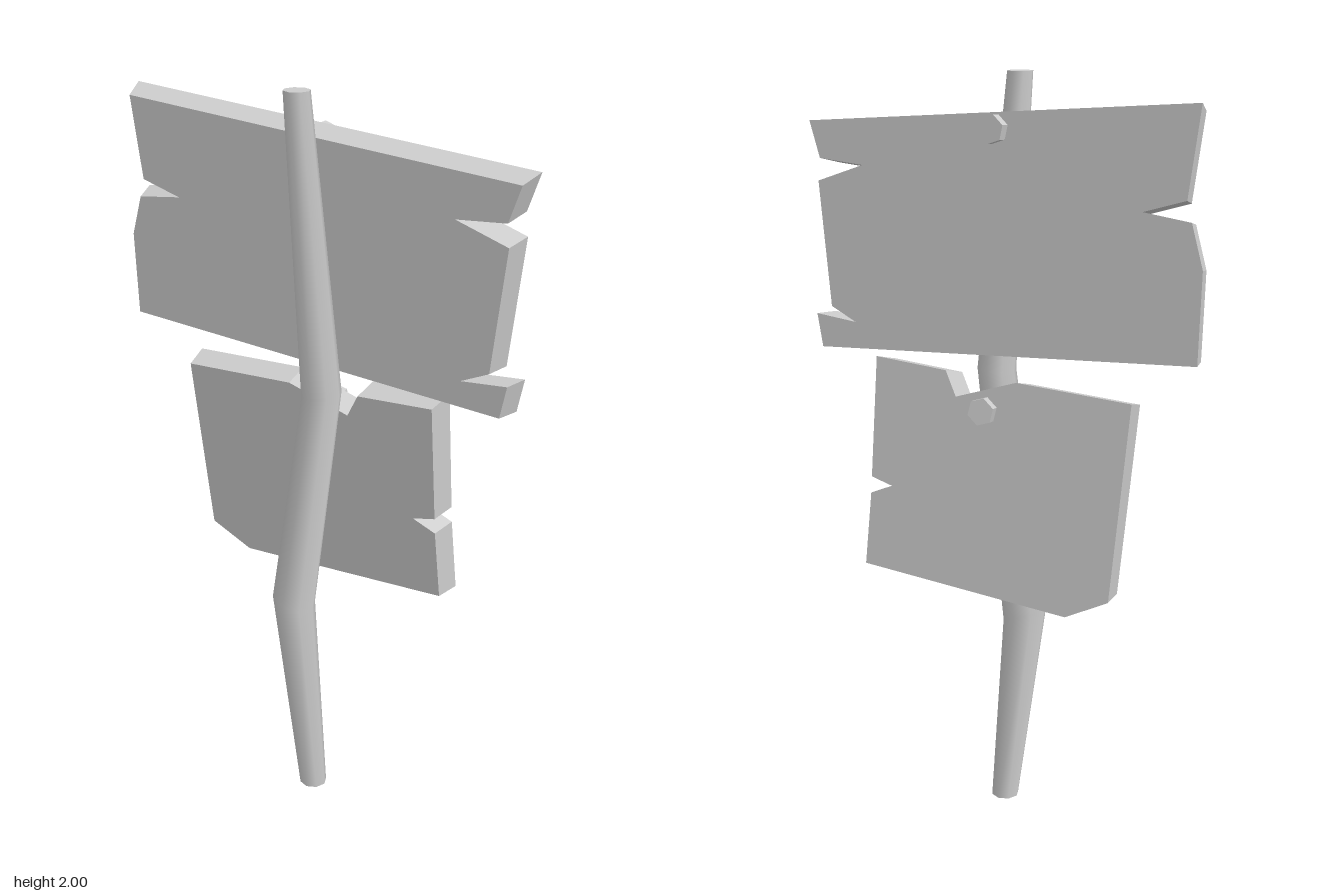
import * as THREE from 'three';

const material = new THREE.MeshStandardMaterial({ color: 0xcccccc });
const flatMaterial = new THREE.MeshStandardMaterial({ color: 0xcccccc, flatShading: true });

function addMesh(parent, name, geometry, mat) {
  const mesh = new THREE.Mesh(geometry, mat);
  mesh.name = name;
  parent.add(mesh);
  return mesh;
}

// Crooked eight-sided post: each ring is [x, y, z, radius, sideways slope]
function makePost() {
  const rings = [
    [-0.012, 0, 0.022, 0.038, 0],
    [-0.082, 0.575, 0.009, 0.06, -0.35],
    [0.041, 1.23, 0.064, 0.053, 0.1],
    [-0.01, 2, 0.093, 0.034, 0],
  ];
  const geometry = new THREE.CylinderGeometry(1, 1, 3, 8, 3);
  const p = geometry.attributes.position;
  for (let i = 0; i < p.count; i++) {
    const [x, y, z, r, slope] = rings[Math.round(p.getY(i) + 1.5)];
    const dx = p.getX(i) * r;
    p.setXYZ(i, x + dx, y + dx * slope, z + p.getZ(i) * r);
  }
  return geometry;
}

// Chipped plank: the outline is the rear face; the front face is slightly
// smaller and the whole plank leans forward at the top
function makePlank({ outline, thickness, bottom, zBottom, lean, centerX }) {
  const shape = new THREE.Shape(outline.map(([x, y]) => new THREE.Vector2(x, y)));
  const geometry = new THREE.ExtrudeGeometry(shape, { depth: thickness, bevelEnabled: false });
  const p = geometry.attributes.position;
  for (let i = 0; i < p.count; i++) {
    const front = p.getZ(i) > thickness / 2;
    let x = p.getX(i), y = p.getY(i);
    const z = zBottom + (y - bottom) * lean + p.getZ(i);
    if (front) {
      x = centerX + (x - centerX) * 0.968;
      y = bottom + (y - bottom) * 0.967;
    }
    p.setXYZ(i, x, y, z);
  }
  geometry.computeVertexNormals();
  return geometry;
}

// Hexagonal bolt sticking out of the rear of a plank
function makeBolt(name, x, y, z, lean, turn) {
  const bolt = new THREE.Group();
  bolt.name = name;
  const head = addMesh(bolt, name + 'Head', new THREE.CylinderGeometry(0.037, 0.037, 0.025, 6), flatMaterial);
  head.rotation.x = Math.PI / 2;
  const shank = addMesh(bolt, name + 'Shank', new THREE.CylinderGeometry(0.015, 0.015, 0.07, 8), material);
  shank.rotation.x = Math.PI / 2;
  shank.position.z = 0.035;
  bolt.position.set(x, y, z);
  bolt.rotation.set(lean, turn, 0.2);
  return bolt;
}

export function createModel() {
  const model = new THREE.Group();
  model.name = 'signpost';

  addMesh(model, 'post', makePost(), material);

  addMesh(model, 'upperBoard', makePlank({
    outline: [
      [-0.56, 1.95], [-0.535, 1.725], [-0.42, 1.69], [-0.55, 1.675], [-0.585, 1.565],
      [-0.585, 1.335], [0.535, 1.25], [0.555, 1.34], [0.425, 1.33], [0.505, 1.365],
      [0.55, 1.7], [0.405, 1.75], [0.545, 1.76], [0.58, 1.857],
    ],
    thickness: 0.063, bottom: 1.25, zBottom: -0.046, lean: 0.05, centerX: 0,
  }), flatMaterial);

  addMesh(model, 'lowerBoard', makePlank({
    outline: [
      [-0.425, 1.225], [-0.4, 0.715], [-0.28, 0.652], [0.35, 0.675], [0.342, 0.875],
      [0.275, 0.905], [0.342, 0.92], [0.342, 1.25], [0.12, 1.24], [0.085, 1.175],
      [-0.095, 1.235],
    ],
    thickness: 0.072, bottom: 0.652, zBottom: -0.127, lean: 0.107, centerX: -0.04,
  }), flatMaterial);

  // Bolts holding the boards
  model.add(makeBolt('upperBolt', -0.01, 1.865, -0.039, 0.05, 0));
  model.add(makeBolt('lowerBolt', -0.012, 1.155, -0.096, 0.1, 0.15));

  return model;
}
